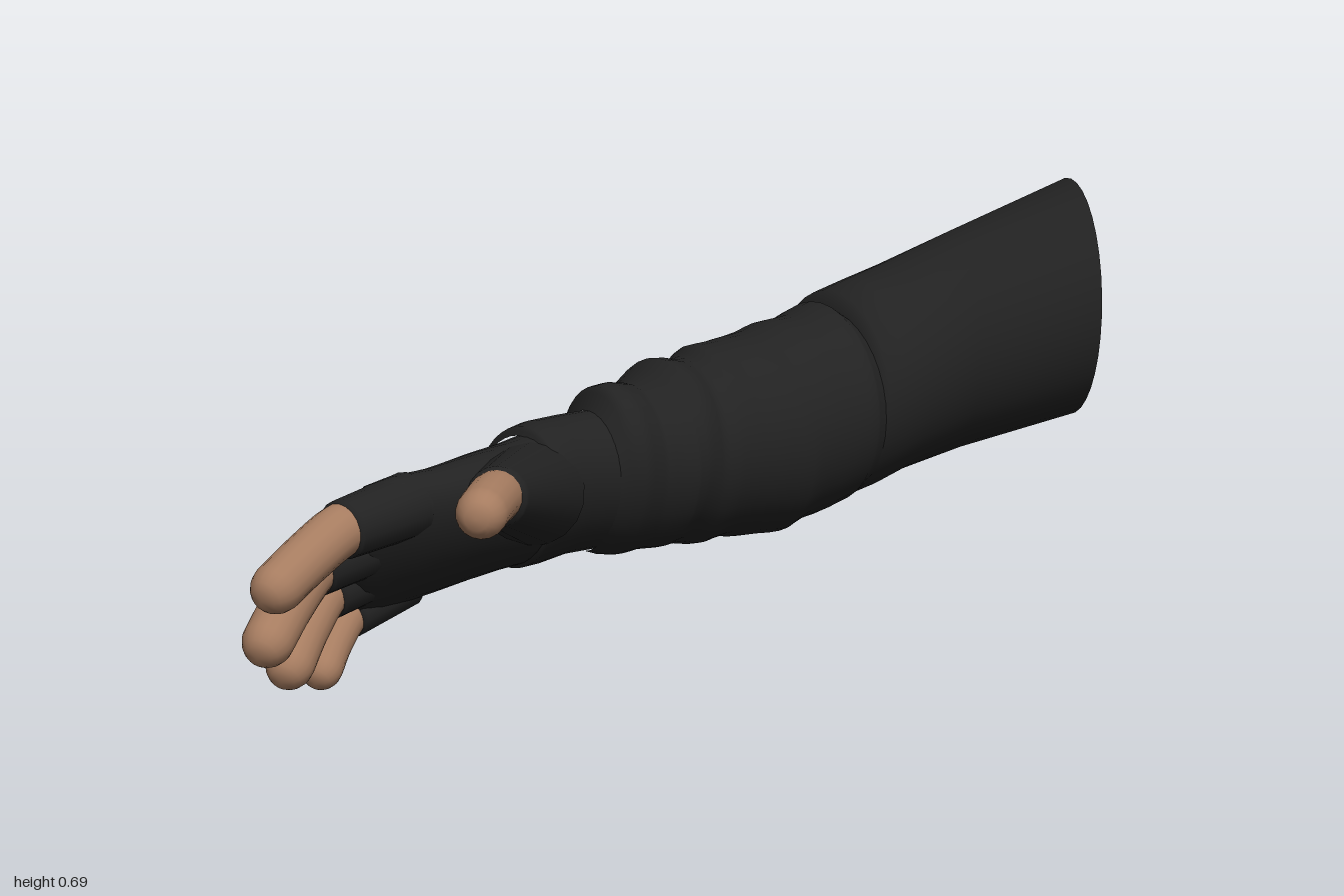
import * as THREE from 'three';
import { mergeVertices } from 'three/addons/utils/BufferGeometryUtils.js';

const SIDES = 36;

// Skin of skewed ellipses. Row: [zLeft, zRight, xLeft, xRight, yBottom, yTop, skew]
function loft(rows, { sub = 1, ripple = 0, capStart = false, capEnd = false } = {}) {
  const rings = [];
  for (let i = 0; i < rows.length - 1; i++) {
    for (let s = 0; s < sub; s++) rings.push(rows[i].map((v, k) => THREE.MathUtils.lerp(v, rows[i + 1][k], s / sub)));
  }
  rings.push(rows[rows.length - 1]);
  const pos = [], idx = [];
  rings.forEach(([zL, zR, xL, xR, yB, yT, skew], i) => {
    const phi = Math.acos(skew), fade = Math.sin(Math.PI * i / (rings.length - 1));
    for (let j = 0; j < SIDES; j++) {
      const t = j / SIDES * Math.PI * 2, z = (zL + zR) / 2 + (zR - zL) / 2 * Math.cos(t);
      // slanting cloth folds
      const k = 1 + ripple * fade * (Math.sin(42 * z + 2.2 * Math.cos(t + 0.6)) + 0.6 * Math.sin(67 * z - 2 * Math.sin(t)));
      pos.push((xL + xR) / 2 + (xR - xL) / 2 * Math.cos(t) * k,
        (yB + yT) / 2 + (yT - yB) / 2 * Math.cos(t - phi) * k, z);
    }
  });
  for (let i = 0; i < rings.length - 1; i++) {
    for (let j = 0; j < SIDES; j++) {
      const a = i * SIDES + j, b = i * SIDES + (j + 1) % SIDES;
      idx.push(a, b, b + SIDES, a, b + SIDES, a + SIDES);
    }
  }
  // flat caps with their own corners
  const cap = (ring, flip) => {
    const base = pos.length / 3, r = rings[ring];
    const off = ring * SIDES * 3;
    pos.push(...pos.slice(off, off + SIDES * 3), (r[2] + r[3]) / 2, (r[4] + r[5]) / 2, (r[0] + r[1]) / 2);
    for (let j = 0; j < SIDES; j++) {
      const a = base + j, b = base + (j + 1) % SIDES;
      idx.push(base + SIDES, flip ? b : a, flip ? a : b);
    }
  };
  if (capStart) cap(0, true);
  if (capEnd) cap(rings.length - 1, false);
  const g = new THREE.BufferGeometry();
  g.setAttribute('position', new THREE.Float32BufferAttribute(pos, 3));
  g.setIndex(idx);
  g.computeVertexNormals();
  return g;
}

// Tube whose radius follows radiusAt(u)
function taperedTube(points, radiusAt, segments = 28) {
  const curve = new THREE.CatmullRomCurve3(points.map(p => new THREE.Vector3(...p)));
  let g = new THREE.TubeGeometry(curve, segments, 1, 18);
  const p = g.attributes.position, v = new THREE.Vector3();
  for (let i = 0; i < p.count; i++) {
    const u = Math.floor(i / 19) / segments, c = curve.getPointAt(u);
    v.fromBufferAttribute(p, i).sub(c).multiplyScalar(radiusAt(u)).add(c);
    p.setXYZ(i, v.x, v.y, v.z);
  }
  g.deleteAttribute('uv');
  g.deleteAttribute('normal');
  g = mergeVertices(g, 1e-5);
  g.computeVertexNormals();
  return g;
}

export function createModel() {
  const model = new THREE.Group();
  model.name = 'glovedArm';
  const cloth = new THREE.MeshStandardMaterial({ color: 0x222222 });
  cloth.name = 'blackCloth';
  const skin = new THREE.MeshStandardMaterial({ color: 0xa67c60 });
  skin.name = 'skin';
  const add = (name, geometry, material, parent = model) => {
    const m = new THREE.Mesh(geometry, material);
    m.name = name;
    parent.add(m);
  };

  // Upper arm, cut off flat at the shoulder end
  add('upperSleeve', loft([
    [-1, -0.79, -0.26, 0.15, 0.22, 0.69, 0],
    [-0.75, -0.58, -0.315, 0.045, 0.165, 0.595, 0],
    [-0.58, -0.48, -0.355, 0.025, 0.135, 0.54, 0],
    [-0.49, -0.42, -0.372, 0.018, 0.11, 0.515, 0],
    [-0.41, -0.385, -0.37, 0.015, 0.1, 0.498, 0],
    [-0.395, -0.375, -0.358, 0.01, 0.105, 0.465, 0],
  ], { capStart: true }), cloth);

  // Bunched forearm sleeve
  add('forearmSleeve', loft([
    [-0.4, -0.38, -0.358, 0.01, 0.105, 0.462, 0],
    [-0.37, -0.34, -0.36, 0.035, 0.095, 0.482, 0],
    [-0.3, -0.27, -0.335, 0.038, 0.085, 0.468, 0],
    [-0.22, -0.18, -0.328, 0.05, 0.068, 0.455, 0],
    [-0.12, -0.08, -0.325, 0.048, 0.072, 0.44, 0.03],
    [-0.08, -0.02, -0.318, 0.052, 0.076, 0.436, 0.05],
    [-0.05, 0.02, -0.292, 0.048, 0.08, 0.425, 0.05],
    [0.06, 0.06, -0.28, 0.068, 0.085, 0.43, 0.1],
    [0.085, 0.09, -0.265, 0.072, 0.088, 0.42, 0.1],
    [0.12, 0.14, -0.235, 0.05, 0.092, 0.4, 0.12],
    [0.18, 0.19, -0.215, 0.068, 0.095, 0.412, 0.15],
    [0.21, 0.22, -0.205, 0.062, 0.1, 0.408, 0.15],
    [0.23, 0.25, -0.188, 0.048, 0.11, 0.37, 0.2],
  ], { sub: 4, ripple: 0.016 }), cloth);

  // Wrist cuff
  add('wristCuff', loft([
    [0.22, 0.23, -0.19, 0.05, 0.112, 0.37, 0.2],
    [0.3, 0.3, -0.182, 0.062, 0.115, 0.372, 0.22],
    [0.37, 0.36, -0.174, 0.083, 0.11, 0.374, 0.25],
    [0.405, 0.385, -0.168, 0.09, 0.11, 0.37, 0.27],
    [0.412, 0.395, -0.155, 0.078, 0.12, 0.355, 0.3],
  ], { sub: 2 }), cloth);

  // Palm and back of the hand
  add('gloveHand', loft([
    [0.38, 0.37, -0.155, 0.08, 0.118, 0.358, 0.3],
    [0.44, 0.44, -0.15, 0.092, 0.112, 0.352, 0.4],
    [0.51, 0.52, -0.142, 0.11, 0.1, 0.352, 0.52],
    [0.59, 0.62, -0.13, 0.12, 0.085, 0.345, 0.62],
    [0.65, 0.7, -0.115, 0.118, 0.074, 0.345, 0.68],
    [0.69, 0.75, -0.092, 0.115, 0.08, 0.338, 0.72],
    [0.71, 0.77, -0.065, 0.1, 0.105, 0.32, 0.75],
    [0.72, 0.78, -0.035, 0.075, 0.14, 0.285, 0.75],
  ], { sub: 2, capEnd: true }), cloth);

  // Fingers: [name, knuckle, glove edge, tip centre, skin radius, knuckle radius]
  const fingers = [
    ['indexFinger', [0.07, 0.293, 0.66], [0.122, 0.285, 0.81], [0.193, 0.235, 0.953], 0.042, 0.054],
    ['middleFinger', [0.022, 0.235, 0.67], [0.066, 0.215, 0.83], [0.163, 0.143, 0.957], 0.042, 0.053],
    ['ringFinger', [-0.03, 0.175, 0.64], [0.012, 0.152, 0.785], [0.108, 0.078, 0.897], 0.04, 0.05],
    ['littleFinger', [-0.072, 0.12, 0.6], [-0.034, 0.092, 0.725], [0.04, 0.036, 0.81], 0.035, 0.046],
    ['thumb', [0.02, 0.262, 0.4], [0.25, 0.335, 0.605], [0.328, 0.337, 0.675], 0.042, 0.09],
  ];
  for (const [name, base, edge, tip, r, r0] of fingers) {
    const group = new THREE.Group();
    group.name = name;
    model.add(group);
    const E = new THREE.Vector3(...edge), T = new THREE.Vector3(...tip), B = new THREE.Vector3(...base);
    const dir = T.clone().sub(E).normalize();
    const end = T.clone().addScaledVector(dir, r * 0.95);
    const mid = E.clone().lerp(T, 0.5).addScaledVector(E.clone().sub(B).normalize(), 0.008);
    const inner = E.clone().lerp(B, 0.15);
    // glove sleeve of the finger, closing in at its rim
    add(name + 'Glove', taperedTube([base, B.clone().lerp(E, 0.55).toArray(), edge],
      u => u > 0.99 ? r * 0.9 : THREE.MathUtils.lerp(r0, r + 0.005, u)), cloth, group);
    // bare finger with a rounded tip
    const len = inner.distanceTo(end), round = 1 - r * 1.05 / len;
    add(name + 'Skin', taperedTube([inner, E, mid, T, end].map(v => v.toArray()), u => {
      const k = Math.max(0, (u - round) / (1 - round));
      return r * (1.02 - 0.08 * u) * Math.sqrt(Math.max(0, 1 - k * k));
    }, 36), skin, group);
  }
  return model;
}
